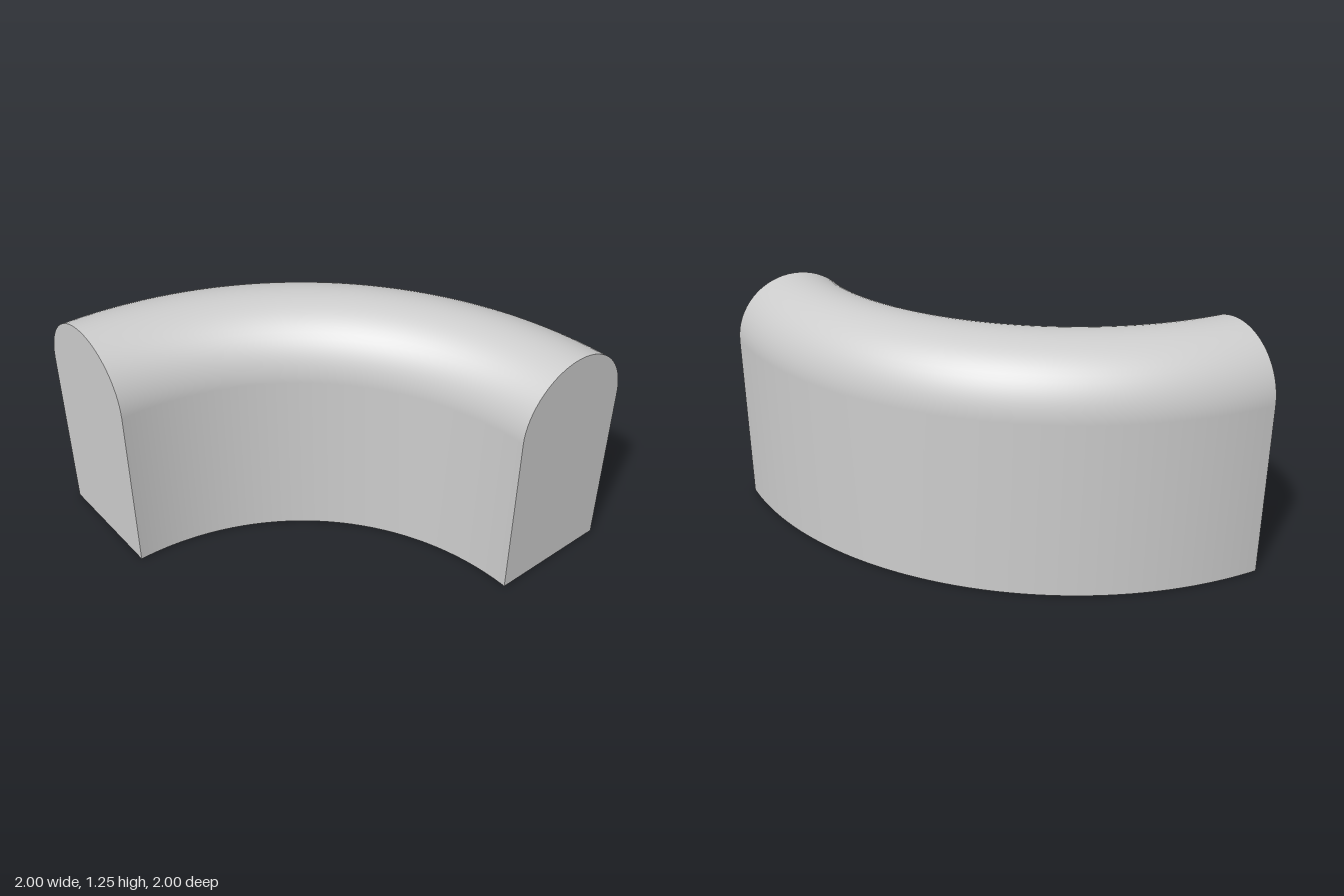
import * as THREE from 'three';

const MID = 5 / 3;      // radius of the sweep's centre line
const HALF = 1 / 3;     // half width of the arched section
const WALL = 1 / 12;    // wall thickness
const SPRING = 11 / 12; // height where the arch begins

// Arched section, from the outer foot over the crown to the inner foot
function archProfile(half) {
  const points = [new THREE.Vector2(MID + half, 0)];
  const steps = 32;
  for (let i = 0; i <= steps; i++) {
    const a = (Math.PI * i) / steps;
    points.push(new THREE.Vector2(MID + half * Math.cos(a), SPRING + half * Math.sin(a)));
  }
  points.push(new THREE.Vector2(MID - half, 0));
  return points;
}

export function createModel() {
  const group = new THREE.Group();
  const grey = new THREE.MeshStandardMaterial({ color: 0xcccccc, side: THREE.DoubleSide });
  grey.name = 'light grey';

  const add = (name, geometry) => {
    const mesh = new THREE.Mesh(geometry, grey);
    mesh.name = name;
    mesh.position.set(-1, 0, 1); // centre of the quarter turn
    group.add(mesh);
    return mesh;
  };
  const sweep = (points) => new THREE.LatheGeometry(points, 64, Math.PI / 2, Math.PI / 2);
  const rim = (r0, r1) => sweep([new THREE.Vector2(r0, 0), new THREE.Vector2(r1, 0)]);

  // Curved outer skin and the hollow inside it
  const outline = archProfile(HALF);
  add('outerShell', sweep(outline));
  add('innerLining', sweep(archProfile(HALF - WALL).reverse()));

  // Bottom edges of the two walls
  add('outerRim', rim(MID + HALF - WALL, MID + HALF));
  add('innerRim', rim(MID - HALF, MID - HALF + WALL));

  // Flat arched faces closing both ends
  const cap = new THREE.ShapeGeometry(new THREE.Shape(outline));
  add('frontEndCap', cap);
  add('sideEndCap', cap).rotation.y = Math.PI / 2;

  return group;
}
